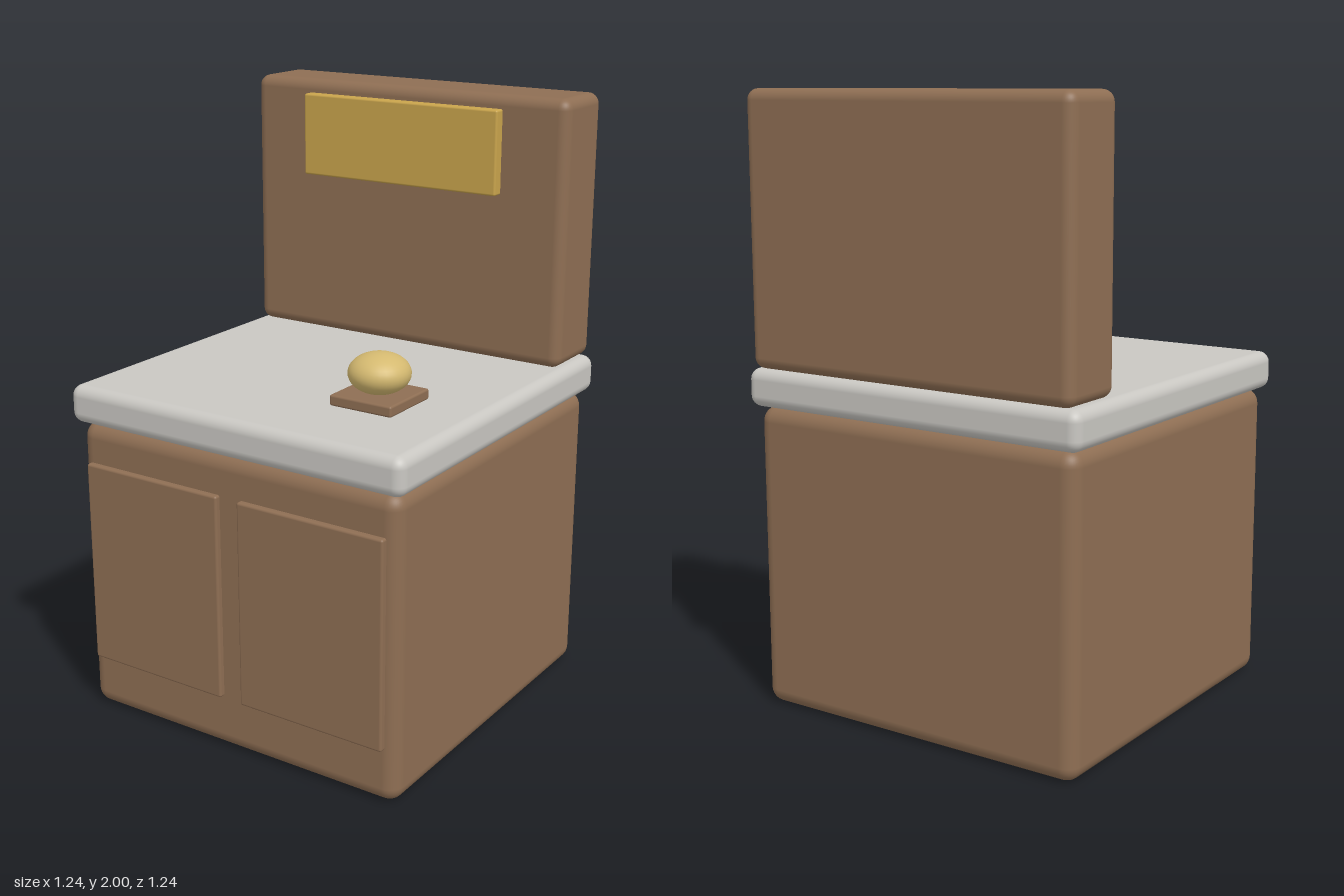
import * as THREE from 'three';
import { RoundedBoxGeometry } from 'three/addons/geometries/RoundedBoxGeometry.js';

const material = (name, color) => {
  const m = new THREE.MeshStandardMaterial({ color });
  m.name = name;
  return m;
};

export function createModel() {
  const wood = material('brown wood', 0x8e6e53);
  const stone = material('pale stone', 0xc9c7c2);
  const gold = material('gold panel', 0xc9a44c);
  const dough = material('golden crust', 0xd4b970);

  const group = new THREE.Group();
  group.name = 'bakeryCounter';

  // Rounded box given by its [min, max] on each axis
  const box = (name, mat, [x0, x1], [y0, y1], [z0, z1], radius) => {
    const geometry = new RoundedBoxGeometry(x1 - x0, y1 - y0, z1 - z0, 4, radius);
    const mesh = new THREE.Mesh(geometry, mat);
    mesh.position.set((x0 + x1) / 2, (y0 + y1) / 2, (z0 + z1) / 2);
    mesh.name = name;
    group.add(mesh);
  };

  // Cabinet, worktop and back board
  box('cabinet', wood, [-0.6, 0.6], [0, 1], [-0.6, 0.6], 0.05);
  box('worktop', stone, [-0.622, 0.622], [1, 1.125], [-0.622, 0.622], 0.036);
  box('backBoard', wood, [-0.6, 0.6], [1.125, 2], [-0.622, -0.377], 0.036);

  // Pair of cabinet doors
  box('leftDoor', wood, [0.037, 0.56], [0.185, 0.87], [0.58, 0.62], 0.008);
  box('rightDoor', wood, [-0.562, -0.04], [0.185, 0.87], [0.58, 0.62], 0.008);

  // Blank sign on the back board
  box('signPanel', gold, [-0.374, 0.37], [1.68, 1.955], [-0.385, -0.34], 0.007);

  // Small board carrying a bun
  box('servingBoard', wood, [0.2, 0.42], [1.135, 1.17], [0.136, 0.358], 0.007);
  const bun = new THREE.Mesh(new THREE.SphereGeometry(0.098, 32, 20), dough);
  bun.scale.y = 0.66;
  bun.position.set(0.31, 1.23, 0.247);
  bun.name = 'bun';
  group.add(bun);

  return group;
}
